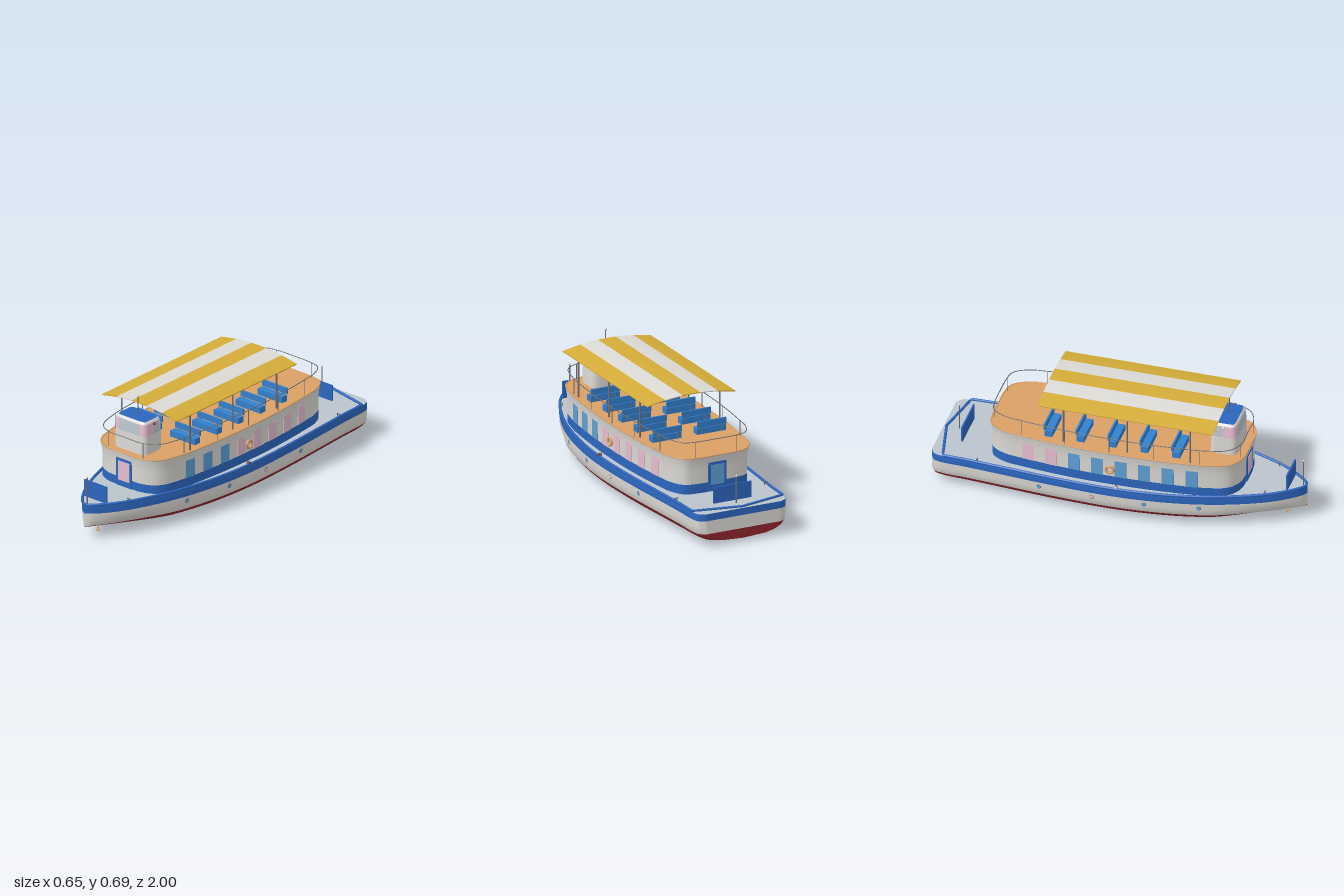
import * as THREE from 'three';

const mat = (name, color, side = THREE.FrontSide) => {
  const m = new THREE.MeshStandardMaterial({ color, side });
  m.name = name;
  return m;
};
const V = (x, y, z) => new THREE.Vector3(x, y, z);

// Surface through rows of points; group(j) gives the material index of column j
function grid(rows, group = () => 0) {
  const n = rows[0].length, index = [], g = new THREE.BufferGeometry();
  for (let j = 0; j < n - 1; j++) {
    g.addGroup(index.length, (rows.length - 1) * 6, group(j));
    for (let i = 0; i < rows.length - 1; i++) {
      const a = i * n + j, b = a + n;
      index.push(a, b, a + 1, b, b + 1, a + 1);
    }
  }
  g.setAttribute('position', new THREE.Float32BufferAttribute(rows.flat(2), 3));
  g.setIndex(index);
  g.computeVertexNormals();
  return g;
}

// Half width and slope of a half outline (z falling) at z
function sideAt(points, z) {
  let i = 0;
  while (i < points.length - 2 && points[i + 1].z > z) i++;
  const a = points[i], b = points[i + 1], s = (b.x - a.x) / (b.z - a.z);
  return { x: a.x + s * (z - a.z), angle: Math.atan(s) };
}

// Ring of a closed plan outline at height y, moved outwards by d
function ring(outline, y, d) {
  const n = outline.length - 1;
  return outline.map((p, i) => {
    const a = outline[(i + n - 1) % n], b = outline[(i + 1) % n];
    const tx = b.x - a.x, tz = b.z - a.z, l = Math.hypot(tx, tz);
    return [p.x + d * tz / l, y, p.z - d * tx / l];
  });
}
const wallRows = (outline, levels) => levels.map(([y, d]) => ring(outline, y, d));
const capRows = (outline, y, d) => {
  const r = ring(outline, y, d);
  return [r, r.map(p => [0, y, p[2]])];
};

export function createModel() {
  const white = mat('white paint', 0xdcdad5), blue = mat('blue paint', 0x2c66bf), red = mat('red paint', 0x8f262d),
    deckGrey = mat('deck grey', 0xbac4cc), tan = mat('tan wood', 0xdaa066), yellow = mat('canopy yellow', 0xd4ac38),
    sky = mat('window blue', 0x5fa0d4), pink = mat('window pink', 0xe6bdd0), metal = mat('metal', 0x707173),
    bench = mat('bench blue', 0x3380cf);
  const model = new THREE.Group();
  const add = (name, geo, m, x = 0, y = 0, z = 0, ry = 0) => {
    const mesh = new THREE.Mesh(geo, m);
    mesh.name = name;
    mesh.position.set(x, y, z);
    mesh.rotation.y = ry;
    model.add(mesh);
    return mesh;
  };
  const box = (w, h, d) => new THREE.BoxGeometry(w, h, d);
  const post = (name, m, r, x, y0, y1, z) => add(name, new THREE.CylinderGeometry(r, r, y1 - y0, 10), m, x, (y0 + y1) / 2, z);
  const ball = (name, m, r, x, y, z) => add(name, new THREE.SphereGeometry(r, 14, 10), m, x, y, z);
  const deckY = z => 0.188 + 0.004 * z + 0.003 * z * z;

  // Hull: half width, keel height, z
  const hullSide = new THREE.CatmullRomCurve3([
    V(0, 0.07, 0.995), V(0.035, 0.066, 0.97), V(0.1, 0.056, 0.89), V(0.157, 0.043, 0.79), V(0.235, 0.024, 0.59),
    V(0.283, 0.012, 0.4), V(0.312, 0.005, 0.2), V(0.323, 0.002, 0), V(0.319, 0, -0.2), V(0.308, 0, -0.4),
    V(0.293, 0.003, -0.6), V(0.279, 0.008, -0.8), V(0.273, 0.014, -0.93), V(0.26, 0.017, -0.977), V(0.225, 0.02, -1)
  ]).getPoints(90);
  const section = ({ x: w, y: k, z }) => {
    const pinch = 1 - 0.4 * THREE.MathUtils.smoothstep(z, 0.5, 1);
    const half = [
      [w * 0.99, deckY(z)], [w, 0.172], [w, 0.148], [w * (0.97 + 0.02 * pinch), 0.11], [w * 0.975 * (0.4 + 0.6 * pinch), 0.075],
      [w * 0.9 * pinch, k + (0.075 - k) * 0.6], [w * 0.79 * pinch, k + (0.075 - k) * 0.33], [w * 0.58 * pinch, k + (0.075 - k) * 0.13]
    ];
    return [...half.map(([x, y]) => [-x, y, z]), [0, k, z], ...half.reverse().map(([x, y]) => [x, y, z])];
  };
  const stern = [0.21, 0.1, 0].map(w => V(w, 0.02, -1));
  const stations = [...hullSide, ...stern];
  add('hull', grid(stations.map(section), j => {
    const k = Math.min(j, 15 - j);
    return k < 2 ? 0 : k < 4 ? 1 : 2;
  }), [blue, white, red]);
  add('deck', grid(stations.map(p => [[p.x * 0.99, deckY(p.z), p.z], [-p.x * 0.99, deckY(p.z), p.z]])), deckGrey);

  // Raised edge around the deck, pointed at the stern
  const edge = hullSide.filter(p => p.z > -0.93 && p.x > 0.004).map(p => V(p.x * 0.978, deckY(p.z) + 0.004, p.z));
  const edgePath = [V(0, deckY(1) + 0.004, 0.988), ...edge, V(0, deckY(-1) + 0.004, -0.985),
    ...edge.map(p => V(-p.x, p.y, p.z)).reverse()];
  add('gunwale', new THREE.TubeGeometry(new THREE.CatmullRomCurve3(edgePath, true, 'catmullrom', 0), 300, 0.0075, 8, true), blue);

  // Cabin
  const half = [[0.12, 0.667], [0.195, 0.622], [0.236, 0.5], [0.262, 0.25], [0.27, 0], [0.264, -0.25],
    [0.241, -0.5], [0.225, -0.6], [0.18, -0.675], [0.11, -0.692]];
  const cabin = new THREE.CatmullRomCurve3([V(0, 0, 0.67), ...half.map(([x, z]) => V(-x, 0, z)), V(0, 0, -0.694),
    ...half.map(([x, z]) => V(x, 0, z)).reverse()], true).getPoints(120);
  const cabinSide = cabin.slice(0, 61).map(p => V(-p.x, 0, p.z));
  add('cabinBase', grid(wallRows(cabin, [[0.18, 0.001], [0.24, 0.001]])), blue);
  add('cabinWall', grid(wallRows(cabin, [[0.24, 0], [0.31, 0.001], [0.345, 0.004], [0.37, 0.008], [0.387, 0.012]])), white);
  add('roofDeck', grid(capRows(cabin, 0.387, 0.012)), tan);
  const trimPath = new THREE.CatmullRomCurve3(ring(cabin, 0.387, 0.009).slice(0, -1).map(p => V(...p)), true);
  add('roofTrim', new THREE.TubeGeometry(trimPath, 160, 0.004, 6, true), tan);

  for (const s of [-1, 1]) {
    // Side windows
    for (let i = 0; i < 8; i++) {
      const z = 0.432 - i * 0.128, { x, angle } = sideAt(cabinSide, z);
      add('sideWindow', box(0.008, 0.1, 0.064), i < (s > 0 ? 3 : 6) ? sky : pink, s * (x + 0.0005), 0.291, z, s * angle);
    }
    // Lifebuoy
    add('lifebuoy', new THREE.TorusGeometry(0.02, 0.007, 10, 28), tan, s * 0.277, 0.283, -0.01, Math.PI / 2);
    // Portholes
    [0.475, 0.187, -0.096, -0.39].forEach((z, i) => {
      const { x, angle } = sideAt(hullSide, z), ry = s * (Math.PI / 2 + angle);
      add('portholeRim', new THREE.TorusGeometry(0.011, 0.0025, 8, 20), metal, s * x * 0.991, 0.122, z, ry);
      const pane = add('portholePane', new THREE.CylinderGeometry(0.011, 0.011, 0.006, 20).rotateX(Math.PI / 2),
        i === 2 ? pink : sky, s * x * 0.991, 0.122, z, ry);
      pane.scale.z = 0.8;
    });
    // Deck side lamps
    add('lampBracket', box(0.014, 0.014, 0.014), metal, s * 0.31, 0.203, 0.035);
    ball('deckLamp', s > 0 ? red : white, 0.007, s * 0.319, 0.204, 0.035);
    // Bollards
    for (const [x, z] of [[0.14, 0.8], [0.265, -0.74]]) {
      const y = deckY(z);
      for (const d of [-0.005, 0.005]) post('bollard', metal, 0.003, s * x + d, y, y + 0.015, z);
      add('bollardBar', box(0.022, 0.004, 0.006), metal, s * x, y + 0.015, z);
    }
  }

  // Doors at both ends of the cabin
  for (const [z, s, pane] of [[0.668, 1, pink], [-0.692, -1, sky]]) {
    add('doorFrame', box(0.106, 0.16, 0.02), blue, 0, 0.27, z);
    add('doorPane', box(0.08, 0.11, 0.006), pane, 0, 0.28, z + s * 0.009);
  }

  // Roof railing
  const railRing = ring(cabin, 0.474, -0.003).slice(0, -1).map(p => V(...p));
  const railPath = new THREE.CatmullRomCurve3(railRing, true);
  add('roofRail', new THREE.TubeGeometry(railPath, 160, 0.0025, 6, true), metal);
  for (let i = 0; i < 14; i++) {
    const p = railPath.getPointAt((i + 0.5) / 14);
    post('railPost', metal, 0.002, p.x, 0.387, 0.474, p.z);
  }

  // Wheelhouse
  const house = [];
  for (let i = 0; i <= 96; i++) {
    const t = i / 96 * Math.PI * 2, f = v => Math.sign(v) * Math.pow(Math.abs(v), 0.38);
    house.push(V(-0.113 * f(Math.sin(t)), 0, 0.5625 + 0.077 * f(Math.cos(t))));
  }
  house[96].copy(house[0]);
  add('wheelhouse', grid(wallRows(house, [[0.387, 0], [0.44, 0], [0.493, -0.001]])), white);
  add('wheelhouseWindows', grid(wallRows(house, [[0.493, -0.001], [0.53, -0.004], [0.556, -0.007]]), j => {
    const x = Math.abs(house[j].x + house[j + 1].x) / 2, z = (house[j].z + house[j + 1].z) / 2;
    return z < 0.515 ? 0 : z < 0.575 ? 1 : x < 0.072 ? 1 : 2;
  }), [white, deckGrey, pink]);
  add('wheelhouseTop', grid(wallRows(house, [[0.556, -0.007], [0.565, -0.011], [0.57, -0.018]])), white);
  add('wheelhouseRoof', grid(capRows(house, 0.57, -0.018)), blue);
  ball('wheelhouseLamp', red, 0.008, 0.114, 0.553, 0.565);
  ball('wheelhouseLamp', white, 0.008, -0.114, 0.553, 0.565);
  post('mast', metal, 0.003, 0, 0.57, 0.675, 0.565);
  ball('mastLight', white, 0.008, 0, 0.679, 0.565);

  // Benches on the roof
  for (let i = 0; i < 5; i++) for (const s of [-1, 1]) {
    const z = 0.337 - i * 0.175;
    add('benchSeat', box(0.172, 0.034, 0.042), bench, s * 0.132, 0.404, z);
    add('benchBack', box(0.172, 0.034, 0.009), bench, s * 0.132, 0.443, z - 0.022);
    for (const x of [0.07, 0.19]) post('benchStay', metal, 0.003, s * x, 0.39, 0.43, z - 0.021);
  }

  // Arched canopy in five stripes, with posts
  const arch = x => 0.63 - 0.029 * (x / 0.262) ** 2;
  for (let i = 0; i < 5; i++) {
    const xs = [0, 1, 2, 3, 4].map(k => -0.262 + 0.1048 * (i + k / 4));
    const shape = new THREE.Shape([...xs.map(x => new THREE.Vector2(x, arch(x))),
      ...xs.slice().reverse().map(x => new THREE.Vector2(x, arch(x) + 0.005))]);
    add('canopyStripe', new THREE.ExtrudeGeometry(shape, { depth: 0.96, bevelEnabled: false }), i % 2 ? white : yellow, 0, 0, -0.408);
  }
  for (const s of [-1, 1]) for (const z of [0.42, 0.075, -0.275]) post('canopyPost', metal, 0.0048, s * 0.237, 0.387, arch(0.237) + 0.001, z);

  // Boards and flagpoles at bow and stern
  add('bowBoard', box(0.158, 0.095, 0.008), blue, 0, 0.244, 0.903);
  add('sternBoard', box(0.225, 0.09, 0.008), blue, 0, 0.232, -0.868);
  for (const [z, top] of [[0.972, 0.346], [-0.915, 0.335]]) {
    post('flagpole', metal, 0.0035, 0, deckY(z), top, z);
    ball('flagpoleKnob', white, 0.006, 0, top + 0.003, z);
  }

  // Propeller
  const hub = add('propellerHub', new THREE.SphereGeometry(0.005, 12, 8), tan, 0, 0.019, 0.885);
  hub.scale.z = 1.5;
  for (let i = 0; i < 3; i++) {
    const blade = add('propellerBlade', new THREE.SphereGeometry(1, 10, 8).scale(0.0045, 0.008, 0.0015).rotateY(0.5).translate(0, 0.009, 0),
      tan, 0, 0.019, 0.885);
    blade.rotation.z = i * Math.PI * 2 / 3;
  }
  return model;
}
